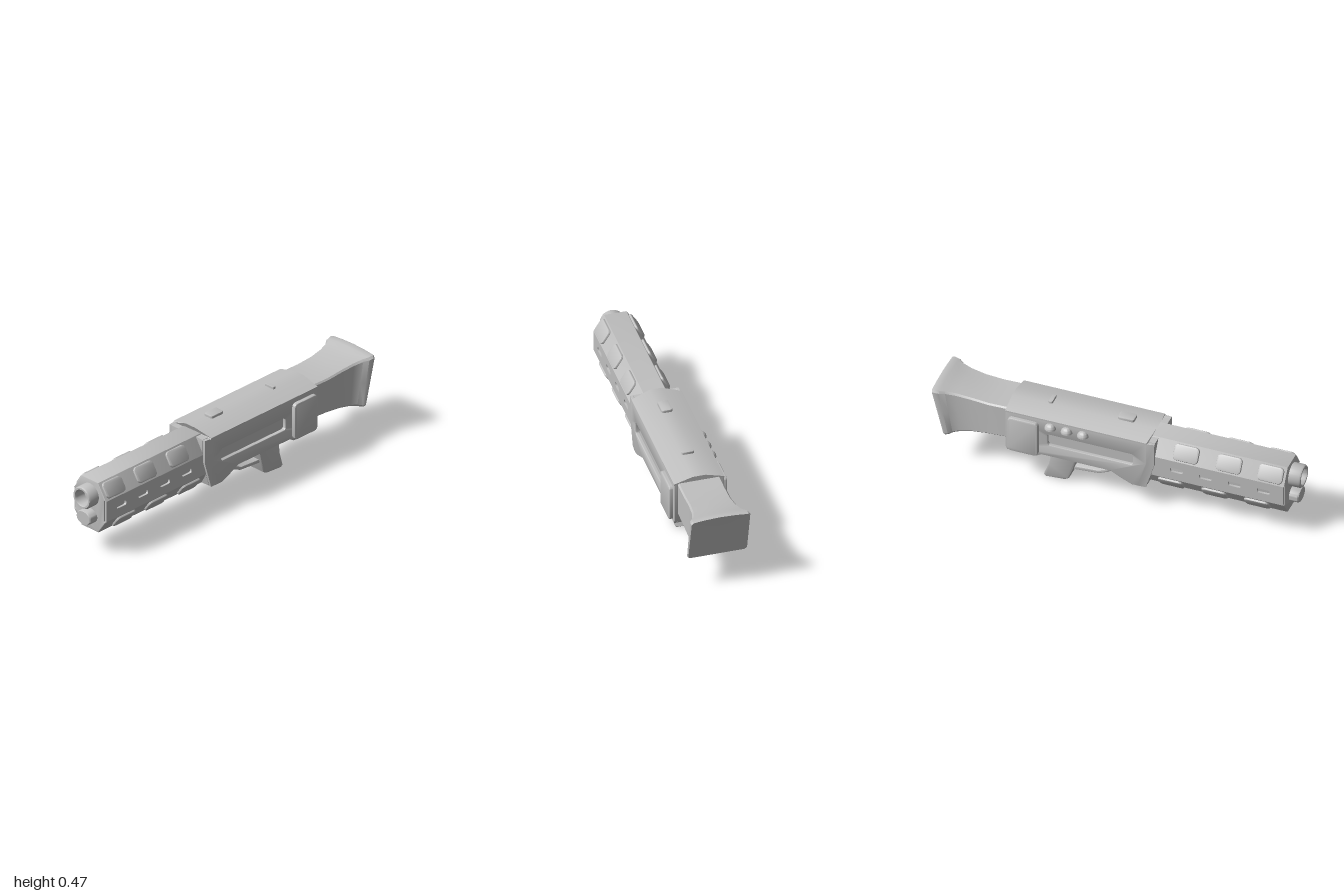
import * as THREE from 'three';
import { toCreasedNormals } from 'three/addons/utils/BufferGeometryUtils.js';

const grey = new THREE.MeshStandardMaterial({ color: 0xc0c0c0 });
grey.name = 'plain grey';

const outline = (pts) => new THREE.Shape(pts.map(([a, b]) => new THREE.Vector2(a, b)));

// Rounded rectangle traced onto a Shape or Path
function roundRect(path, cx, cy, w, h, r) {
  const x = w / 2 - r, y = h / 2 - r;
  path.absarc(cx + x, cy + y, r, 0, Math.PI / 2);
  path.absarc(cx - x, cy + y, r, Math.PI / 2, Math.PI);
  path.absarc(cx - x, cy - y, r, Math.PI, Math.PI * 1.5);
  path.absarc(cx + x, cy - y, r, Math.PI * 1.5, Math.PI * 2);
  path.closePath();
  return path;
}

// Extrusion centred on its depth, with the bevel kept inside the outline
function extrude(shape, depth, bevel = 0) {
  const g = new THREE.ExtrudeGeometry(shape, {
    depth: depth - 2 * bevel, bevelEnabled: bevel > 0, bevelSize: bevel,
    bevelThickness: bevel, bevelOffset: -bevel, bevelSegments: 2, curveSegments: 5,
  });
  return g.translate(0, 0, -(depth - 2 * bevel) / 2);
}

// Side profile drawn in (z, y), extruded across x
const sideExtrude = (shape, width, bevel) => extrude(shape, width, bevel).rotateY(-Math.PI / 2);

function moveVertices(g, rule) {
  const p = g.attributes.position, v = new THREE.Vector3();
  for (let i = 0; i < p.count; i++) {
    rule(v.fromBufferAttribute(p, i));
    p.setXYZ(i, v.x, v.y, v.z);
  }
  g.computeVertexNormals();
  return g;
}

// Closed loft of the stock: stations run front to back
function stockGeometry(stations) {
  const half = [[0, 0], [0.5, 0], [0.93, 0], [1, 0.04], [1, 0.5], [1, 0.96], [0.93, 1], [0.5, 1]];
  const ring = [...half, [0, 1], ...half.slice(1).reverse().map(([u, v]) => [-u, v])];
  const n = ring.length, pos = [], idx = [];
  for (const [zTop, zBot, yTop, yBot, hw, arch] of stations) {
    for (const [u, v] of ring) {
      pos.push(u * hw, yBot + (yTop - yBot) * v + arch * v * (1 - u * u), zBot + (zTop - zBot) * v);
    }
  }
  for (let i = 0; i < stations.length - 1; i++) {
    for (let j = 0; j < n; j++) {
      const a = i * n + j, b = i * n + (j + 1) % n;
      idx.push(a, a + n, b, b, a + n, b + n);
    }
  }
  // Slightly hollow butt face
  const last = (stations.length - 1) * n, [zT, zB, yT, yB] = stations[stations.length - 1];
  pos.push(0, (yT + yB) / 2, (zT + zB) / 2 + 0.008);
  for (let j = 0; j < n; j++) idx.push(last + n, last + (j + 1) % n, last + j);
  const g = new THREE.BufferGeometry();
  g.setAttribute('position', new THREE.Float32BufferAttribute(pos, 3));
  g.setIndex(idx);
  return g;
}

export function createModel() {
  const group = new THREE.Group();
  const add = (name, geometry, x = 0, y = 0, z = 0) => {
    const mesh = new THREE.Mesh(toCreasedNormals(geometry, 0.6), grey);
    mesh.name = name;
    mesh.position.set(x, y, z);
    group.add(mesh);
    return mesh;
  };
  // Rounded plate lying on a surface with the given normal, its width along z
  const plate = (name, w, h, d, r, pos, normal, bevel = 0.007) => {
    const g = extrude(roundRect(new THREE.Shape(), 0, 0, w, h, r), d, bevel);
    const X = new THREE.Vector3(0, 0, 1), Z = new THREE.Vector3(...normal).normalize();
    g.applyMatrix4(new THREE.Matrix4().makeBasis(X, new THREE.Vector3().crossVectors(Z, X), Z));
    add(name, g, ...pos);
  };

  // Eight-sided fore-end with shallow channels for the slotted side strips
  const right = [[0.06, 0.134], [0.117, 0.215], [0.104, 0.215], [0.104, 0.335], [0.117, 0.335], [0.06, 0.425]];
  const left = right.map(([x, y]) => [-x, y]).reverse();
  add('foreEnd', extrude(outline([...right, ...left]), 0.8, 0.005), 0, 0, 0.535);

  const strip = outline([[0.15, 0.215], [0.93, 0.215], [0.93, 0.335], [0.15, 0.335]]);
  for (const z of [0.34, 0.5, 0.66, 0.82]) {
    strip.holes.push(roundRect(new THREE.Path(), z, 0.277, 0.07, 0.026, 0.01));
  }

  // Receiver side profile (z, y)
  const profile = [[0.22, 0.42], [0.222, 0.29], [0.175, 0.134], [0.1, 0.134], [0.05, 0.155], [-0.02, 0.19],
    [-0.4, 0.19], [-0.43, 0.172], [-0.59, 0.172], [-0.6, 0.19], [-0.6, 0.42]].reverse();
  add('receiverCore', sideExtrude(outline(profile), 0.226));
  const cheek = outline(profile);
  cheek.holes.push(roundRect(new THREE.Path(), -0.131, 0.296, 0.47, 0.068, 0.012));

  for (const s of [-1, 1]) {
    add('foreEndSlots', sideExtrude(strip, 0.013), s * 0.1105);

    // Grip pads on the sloping faces
    for (const z of [0.852, 0.622, 0.385]) {
      plate('upperPad', 0.138, 0.088, 0.024, 0.022, [s * 0.0885, 0.38, z], [s * 0.845, 0.535, 0]);
    }
    for (const z of [0.778, 0.542, 0.302]) {
      plate('lowerPad', 0.138, 0.082, 0.024, 0.022, [s * 0.0885, 0.1745, z], [s * 0.818, -0.575, 0]);
    }

    // Receiver cheeks, with the outer front edge swept back
    const side = sideExtrude(cheek, 0.024, 0.006);
    moveVertices(side, (v) => { if (v.x * s > 0.008 && v.z > 0.15) v.z -= 0.04; });
    add('receiverCheek', side, s * 0.1235);

    plate('rearPanel', 0.168, 0.21, 0.03, 0.022, [s * 0.142, 0.291, -0.498], [s, 0, 0], 0.008);
  }

  // Ridged receiver roof with a sloping front
  const roof = extrude(outline([[-0.1355, 0.415], [0.1355, 0.415], [0.1355, 0.424], [0.035, 0.453],
    [-0.035, 0.453], [-0.1355, 0.424]]), 0.82).translate(0, 0, -0.19);
  moveVertices(roof, (v) => {
    if (v.z > 0) v.z -= (v.y - 0.415) * 0.6 + (Math.abs(v.x) > 0.1 ? 0.035 : 0);
  });
  add('receiverRoof', roof);

  // Sights
  plate('frontSight', 0.09, 0.06, 0.026, 0.012, [0, 0.455, 0.025], [0, 1, 0], 0.005);
  plate('rearSight', 0.022, 0.066, 0.026, 0.008, [0, 0.454, -0.39], [0, 1, 0], 0.004);

  // Three half-dome knobs on the right cheek only
  for (const z of [-0.17, -0.26, -0.35]) {
    const dome = [[0, 0], [0.032, 0]];
    for (let i = 1; i <= 8; i++) {
      const a = i * Math.PI / 16;
      dome.push([0.032 * Math.cos(a), 0.033 * Math.sin(a)]);
    }
    add('knob', new THREE.LatheGeometry(dome.map((p) => new THREE.Vector2(...p)), 20), -0.133, 0.375, z);
  }

  // Hollow barrel and the oval tube below it
  const tube = (pts) => new THREE.LatheGeometry(pts.map((p) => new THREE.Vector2(...p)), 28).rotateX(Math.PI / 2);
  add('barrel', tube([[0.063, 0.9], [0.063, 0.992], [0.058, 1], [0.048, 1], [0.044, 0.992], [0.042, 0.93], [0, 0.93]]),
    0.003, 0.339);
  add('lowerTube', tube([[0.052, 0.9], [0.052, 0.98], [0.047, 0.987], [0, 0.987]]).scale(1, 0.78, 1), 0.003, 0.218);

  // Pistol grip, narrowing downwards
  const grip = sideExtrude(outline([[-0.21, 0.2], [-0.225, 0.165], [-0.248, 0.09], [-0.275, 0.02], [-0.295, 0.008],
    [-0.4, 0], [-0.414, 0.012], [-0.385, 0.095], [-0.365, 0.2]].reverse()), 0.17, 0.01);
  moveVertices(grip, (v) => { v.x *= 0.82 + v.y * 1.1; });
  add('grip', grip);

  // Broad trigger guard strap
  const guard = sideExtrude(outline([[0.005, 0.2], [-0.015, 0.165], [-0.055, 0.12], [-0.11, 0.095], [-0.25, 0.083],
    [-0.25, 0.105], [-0.115, 0.114], [-0.07, 0.135], [-0.04, 0.17], [-0.03, 0.2]].reverse()), 0.14, 0.006);
  moveVertices(guard, (v) => { v.x *= 0.8 + v.y; });
  add('triggerGuard', guard);

  // Flared shoulder stock: zTop, zBottom, yTop, yBottom, half width, arch
  add('stock', stockGeometry([
    [-0.59, -0.59, 0.426, 0.232, 0.115, 0],
    [-0.7, -0.7, 0.423, 0.225, 0.115, 0],
    [-0.8, -0.79, 0.43, 0.213, 0.114, 0.002],
    [-0.88, -0.855, 0.44, 0.202, 0.122, 0.005],
    [-0.935, -0.89, 0.449, 0.195, 0.137, 0.008],
    [-0.962, -0.908, 0.456, 0.19, 0.156, 0.01],
    [-0.99, -0.925, 0.46, 0.186, 0.161, 0.011],
    [-1, -0.932, 0.457, 0.189, 0.157, 0.011],
  ]));
  return group;
}
